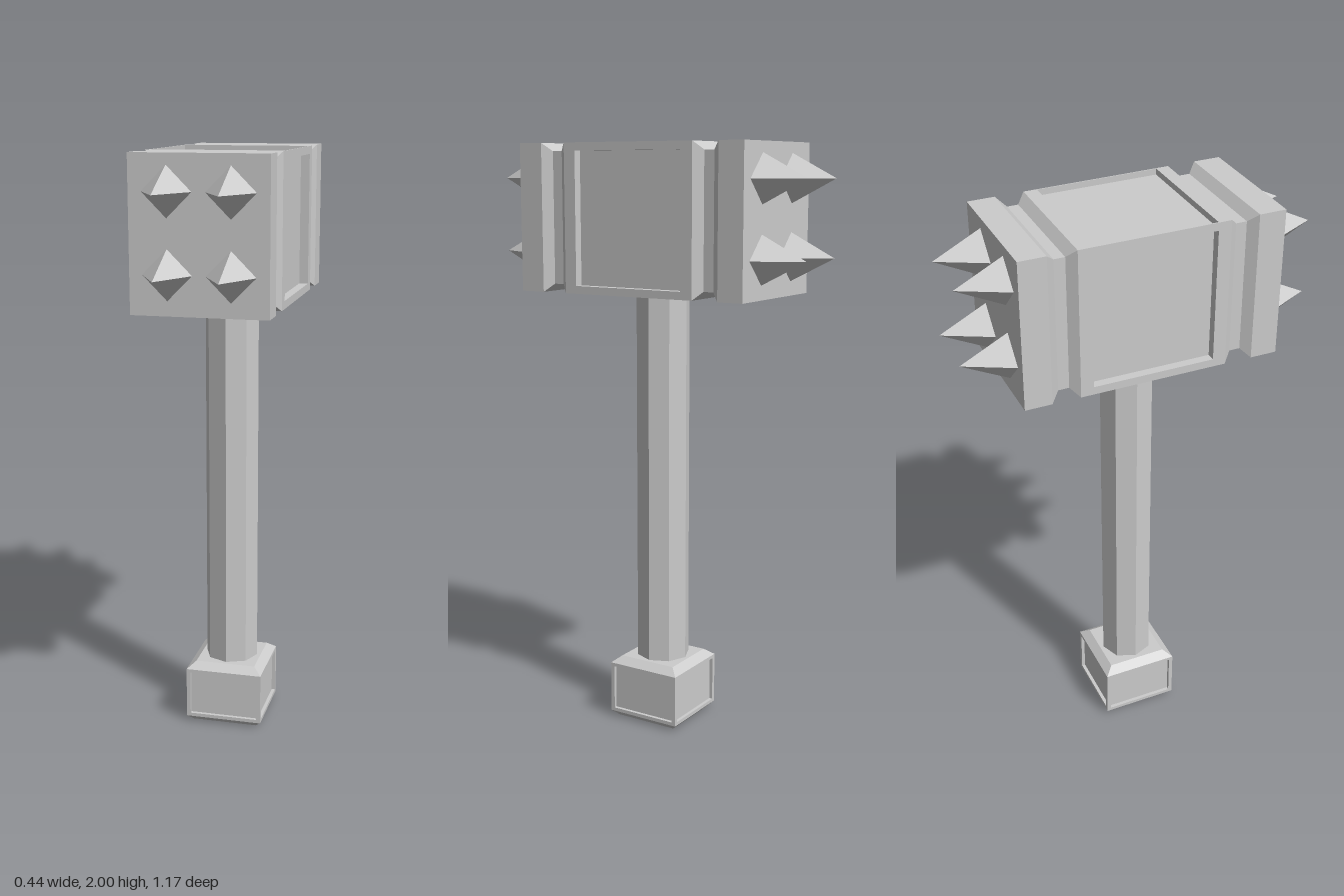
import * as THREE from 'three';

const material = new THREE.MeshStandardMaterial({ color: 0xcccccc, flatShading: true });

// Stack of rectangles [halfWidth, halfHeight, z], joined in order and capped at the last one
function rectLoft(sections) {
  const corners = [[-1, -1], [1, -1], [1, 1], [-1, 1]];
  const rings = sections.map(([w, h, z]) => corners.map(([sx, sy]) => [sx * w, sy * h, z]));
  const pos = [];
  const quad = (a, b, c, d) => pos.push(...a, ...b, ...c, ...a, ...c, ...d);
  for (let k = 0; k < rings.length - 1; k++) {
    for (let i = 0; i < 4; i++) {
      const j = (i + 1) % 4;
      quad(rings[k][i], rings[k][j], rings[k + 1][j], rings[k + 1][i]);
    }
  }
  quad(...rings[rings.length - 1]);
  const geometry = new THREE.BufferGeometry();
  geometry.setAttribute('position', new THREE.Float32BufferAttribute(pos, 3));
  geometry.computeVertexNormals();
  return geometry;
}

// Flat face with a sunken panel, lying at the given distance along +z
const sunkenFace = (w, h, dist, innerW, innerH, depth) =>
  rectLoft([[w, h, dist], [innerW, innerH, dist], [innerW, innerH, dist - depth]]);

function add(parent, name, geometry, rx = 0, ry = 0) {
  const mesh = new THREE.Mesh(geometry, material);
  mesh.name = name;
  mesh.rotation.set(rx, ry, 0);
  parent.add(mesh);
  return mesh;
}

export function createModel() {
  const model = new THREE.Group();
  model.name = 'warHammer';
  const Q = Math.PI / 2;

  // Handle: octagonal shaft
  const handle = add(model, 'handle', new THREE.CylinderGeometry(0.092, 0.092, 1.36, 8));
  handle.position.y = 0.87;

  // Pommel: four panelled sides with bevelled top and bottom
  const pommel = new THREE.Group();
  pommel.name = 'pommel';
  pommel.position.y = 0.11;
  model.add(pommel);
  const side = sunkenFace(0.134, 0.09, 0.134, 0.12, 0.078, 0.012);
  for (let i = 0; i < 4; i++) add(pommel, 'pommelSide', side, 0, i * Q);
  add(pommel, 'pommelTop', rectLoft([[0.134, 0.134, 0.09], [0.105, 0.105, 0.113]]), -Q);
  add(pommel, 'pommelBottom', rectLoft([[0.134, 0.134, -0.09 + 0.18], [0.113, 0.113, 0.11]]), Q);

  // Head: central block with panels on the top and both sides
  const head = new THREE.Group();
  head.name = 'head';
  head.position.y = 1.755;
  model.add(head);
  const W = 0.22, H = 0.245, B = 0.245;
  add(head, 'blockTop', sunkenFace(W, B, H, 0.2165, 0.202, 0.02), -Q);
  add(head, 'blockBottom', rectLoft([[W, B, H]]), Q);
  const blockSide = sunkenFace(B, H, W, 0.202, 0.219, 0.03);
  add(head, 'blockLeft', blockSide, 0, Q);
  add(head, 'blockRight', blockSide, 0, -Q);

  // Striking ends: bevelled neck, plate and four spikes, front and back
  const endGeometry = rectLoft([
    [W, H, B], [0.194, 0.218, 0.273], [0.194, 0.218, 0.309], [W, H, 0.338], [W, H, 0.427],
  ]);
  const spikeGeometry = new THREE.ConeGeometry(0.079, 0.156, 4, 1, true);
  spikeGeometry.rotateX(Q);
  for (const turn of [0, Math.PI]) {
    const end = new THREE.Group();
    end.name = turn ? 'backEnd' : 'frontEnd';
    end.rotation.y = turn;
    head.add(end);
    add(end, 'strikingPlate', endGeometry);
    for (const x of [-0.1, 0.1]) {
      for (const y of [-0.119, 0.131]) {
        add(end, 'spike', spikeGeometry).position.set(x, y, 0.427 + 0.078);
      }
    }
  }
  return model;
}
